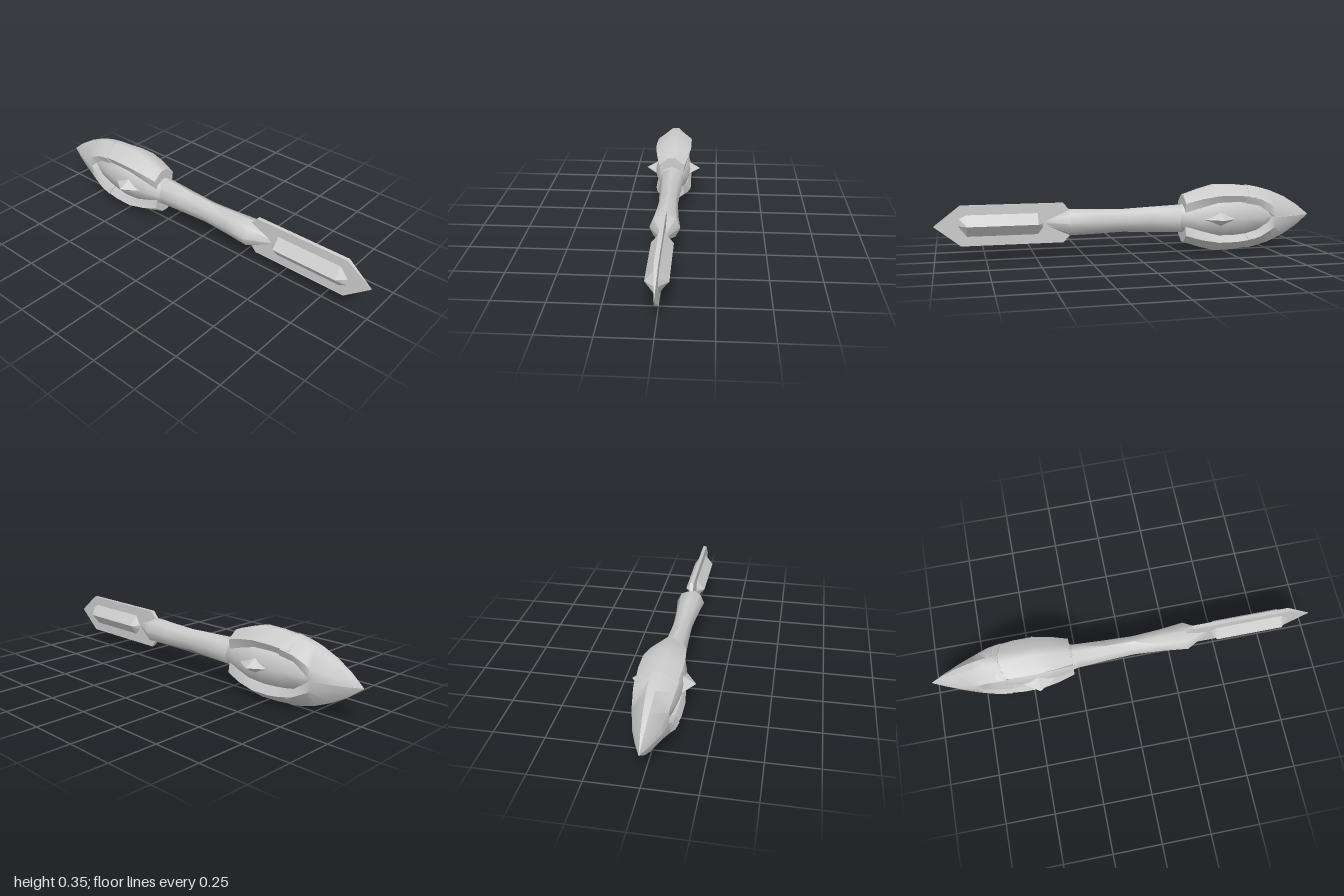
import * as THREE from 'three';
import { toCreasedNormals } from 'three/addons/utils/BufferGeometryUtils.js';

const AXIS = 0.178; // height of the long axis
const material = new THREE.MeshStandardMaterial({ color: 0xcccccc });

// Skin a list of equal-sized rings (counter-clockwise seen from +z, running toward -z).
function loft(rings, crease = 0.7) {
  const n = rings[0].length;
  const index = [];
  for (let r = 0; r < rings.length - 1; r++) {
    for (let i = 0; i < n; i++) {
      const a = r * n + i, a1 = r * n + (i + 1) % n;
      index.push(a, a + n, a1, a + n, a1 + n, a1);
    }
  }
  // End caps fan out from the last point of each ring
  const last = (rings.length - 1) * n;
  for (let i = 0; i < n - 2; i++) {
    index.push(n - 1, i, i + 1, last + n - 1, last + i + 1, last + i);
  }
  const geometry = new THREE.BufferGeometry();
  geometry.setAttribute('position', new THREE.Float32BufferAttribute(rings.flat(2), 3));
  geometry.setIndex(index);
  return toCreasedNormals(geometry, crease);
}

// Elliptical (or, with 4 sides, diamond) ring
function oval(z, rx, ry, sides) {
  return Array.from({ length: sides }, (_, i) => {
    const t = (i / sides) * Math.PI * 2;
    return [rx * Math.cos(t), ry * Math.sin(t), z];
  });
}
const ovalLoft = (rows, sides, crease) => loft(rows.map(([z, rx, ry]) => oval(z, rx, ry, sides)), crease);

const box = (z, x, y) => [[x, -y, z], [x, y, z], [-x, y, z], [-x, -y, z]];

// Arched plate section: lower edge, widest shoulder, flat crown, hollow underside.
// slant pushes the lower edge forward of the crown.
function arch([z, edgeX, edgeY, wideX, wideY, topX, topY, innerY, slant = 0]) {
  const half = [[edgeX, edgeY, z + slant], [wideX, wideY, z + slant * 0.6], [topX, topY, z]];
  const other = half.map(([x, y, d]) => [-x, y, d]).reverse();
  return [...half, ...other, [0, innerY, z + slant * 0.5]];
}

export function createModel() {
  const model = new THREE.Group();
  model.position.y = AXIS;
  const add = (name, geometry, parent = model) => {
    const mesh = new THREE.Mesh(geometry, material);
    mesh.name = name;
    parent.add(mesh);
    return mesh;
  };

  // Waisted grip closing to a point inside the blade
  add('handle', ovalLoft([
    [0.46, 0.004, 0.01], [0.33, 0.075, 0.068], [0.2, 0.06, 0.065],
    [0.05, 0.05, 0.06], [-0.1, 0.056, 0.067], [-0.3, 0.068, 0.076],
  ], 8, 0.9));

  // Thin flat blade with a pointed end
  add('blade', loft([
    box(1, 0.001, 0.001), box(0.87, 0.01, 0.101), box(0.36, 0.01, 0.101), box(0.33, 0.01, 0.068),
  ]));

  // Long diamond crystal set through the blade
  add('bladeCrystal', ovalLoft([
    [0.885, 0.008, 0.045], [0.84, 0.053, 0.066], [0.49, 0.053, 0.066], [0.46, 0.008, 0.025],
  ], 4, 0.3));

  // Swollen core of the head
  add('headCore', ovalLoft([
    [-0.25, 0.065, 0.07], [-0.33, 0.086, 0.09], [-0.41, 0.102, 0.11], [-0.5, 0.104, 0.118],
    [-0.6, 0.09, 0.11], [-0.72, 0.065, 0.08], [-0.82, 0.02, 0.03],
  ], 8, 0.9));

  // Side spikes: four-sided pyramids stretched along the head
  for (const side of [1, -1]) {
    const geometry = new THREE.ConeGeometry(1, 0.073, 4, 1, true);
    geometry.rotateZ(-side * Math.PI / 2);
    geometry.scale(1, 0.042, 0.11);
    const spike = add(side > 0 ? 'leftSpike' : 'rightSpike', toCreasedNormals(geometry, 0.2));
    spike.position.set(side * 0.116, 0, -0.46);
  }

  // Upper and lower halves of the head armour
  const shell = loft([
    [-0.275, 0.062, 0.036, 0.07, 0.085, 0.02, 0.125, 0.06],
    [-0.36, 0.075, 0.062, 0.088, 0.108, 0.02, 0.153, 0.08],
    [-0.45, 0.082, 0.086, 0.1, 0.123, 0.02, 0.177, 0.1],
    [-0.55, 0.082, 0.088, 0.1, 0.123, 0.02, 0.175, 0.1],
    [-0.66, 0.078, 0.08, 0.092, 0.112, 0.02, 0.163, 0.09],
  ].map(arch), 0.75);
  const jaw = loft([
    [-0.635, 0.085, 0.08, 0.1, 0.115, 0.02, 0.17, 0.1, 0.035],
    [-0.69, 0.08, 0.065, 0.094, 0.1, 0.02, 0.16, 0.08, 0.01],
    [-0.745, 0.08, 0.022, 0.085, 0.07, 0.019, 0.145, 0.05],
    [-0.77, 0.08, 0.001, 0.082, 0.055, 0.018, 0.137, 0.01],
    [-0.85, 0.062, 0.001, 0.057, 0.04, 0.014, 0.103, 0.001],
    [-0.93, 0.033, 0.001, 0.028, 0.022, 0.008, 0.056, 0.001],
    [-1, 0.001, 0, 0.001, 0.001, 0.0005, 0.002, 0],
  ].map(arch), 0.75);
  for (const name of ['upper', 'lower']) {
    const half = new THREE.Group();
    half.name = name + 'Armour';
    half.rotation.z = name === 'lower' ? Math.PI : 0;
    add(name + 'Shell', shell, half);
    add(name + 'Jaw', jaw, half);
    model.add(half);
  }

  const group = new THREE.Group();
  group.name = 'spearWand';
  group.add(model);
  return group;
}
